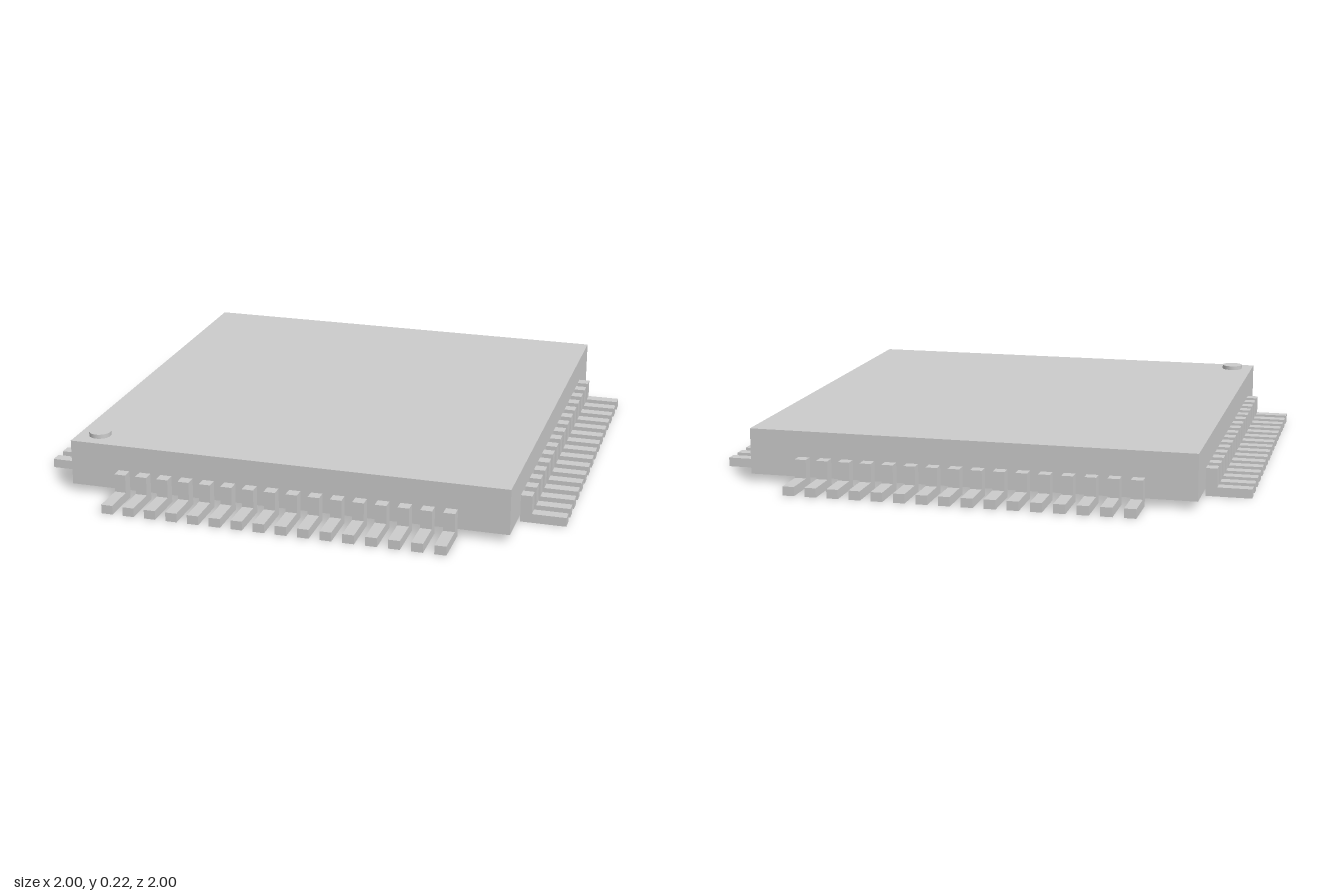
import * as THREE from 'three';

const BODY = 0.832;   // half width of the package
const PINS = 16;      // leads per side
const PITCH = 0.083;
const PIN_W = 0.043;

export function createModel() {
  const group = new THREE.Group();
  group.name = 'chipPackage';
  const material = new THREE.MeshStandardMaterial({ color: 0xcccccc });

  const add = (parent, geometry, name) => {
    const mesh = new THREE.Mesh(geometry, material);
    mesh.name = name;
    parent.add(mesh);
    return mesh;
  };

  // Square package body
  const body = add(group, new THREE.BoxGeometry(BODY * 2, 0.172, BODY * 2), 'body');
  body.position.y = 0.114;

  // Raised pin-one marker in the front corner
  const marker = add(group, new THREE.CylinderGeometry(0.041, 0.041, 0.016, 32), 'pinOneMarker');
  marker.position.set(-0.75, 0.208, 0.747);

  // L-shaped lead: upright against the body, flat foot pointing outward
  const profile = new THREE.Shape([
    [BODY, 0], [1, 0], [1, 0.034], [0.874, 0.034], [0.874, 0.103], [BODY, 0.103],
  ].map(([x, y]) => new THREE.Vector2(x, y)));
  const leadGeometry = new THREE.ExtrudeGeometry(profile, { depth: PIN_W, bevelEnabled: false });
  leadGeometry.translate(0, 0, -PIN_W / 2);

  // One row of leads, turned onto each of the four sides
  ['left', 'back', 'right', 'front'].forEach((side, s) => {
    const row = new THREE.Group();
    row.name = `${side}Leads`;
    row.rotation.y = s * Math.PI / 2;
    for (let i = 0; i < PINS; i++) {
      const lead = add(row, leadGeometry, `${side}Lead${i + 1}`);
      lead.position.z = (i - (PINS - 1) / 2) * PITCH;
    }
    group.add(row);
  });

  return group;
}
